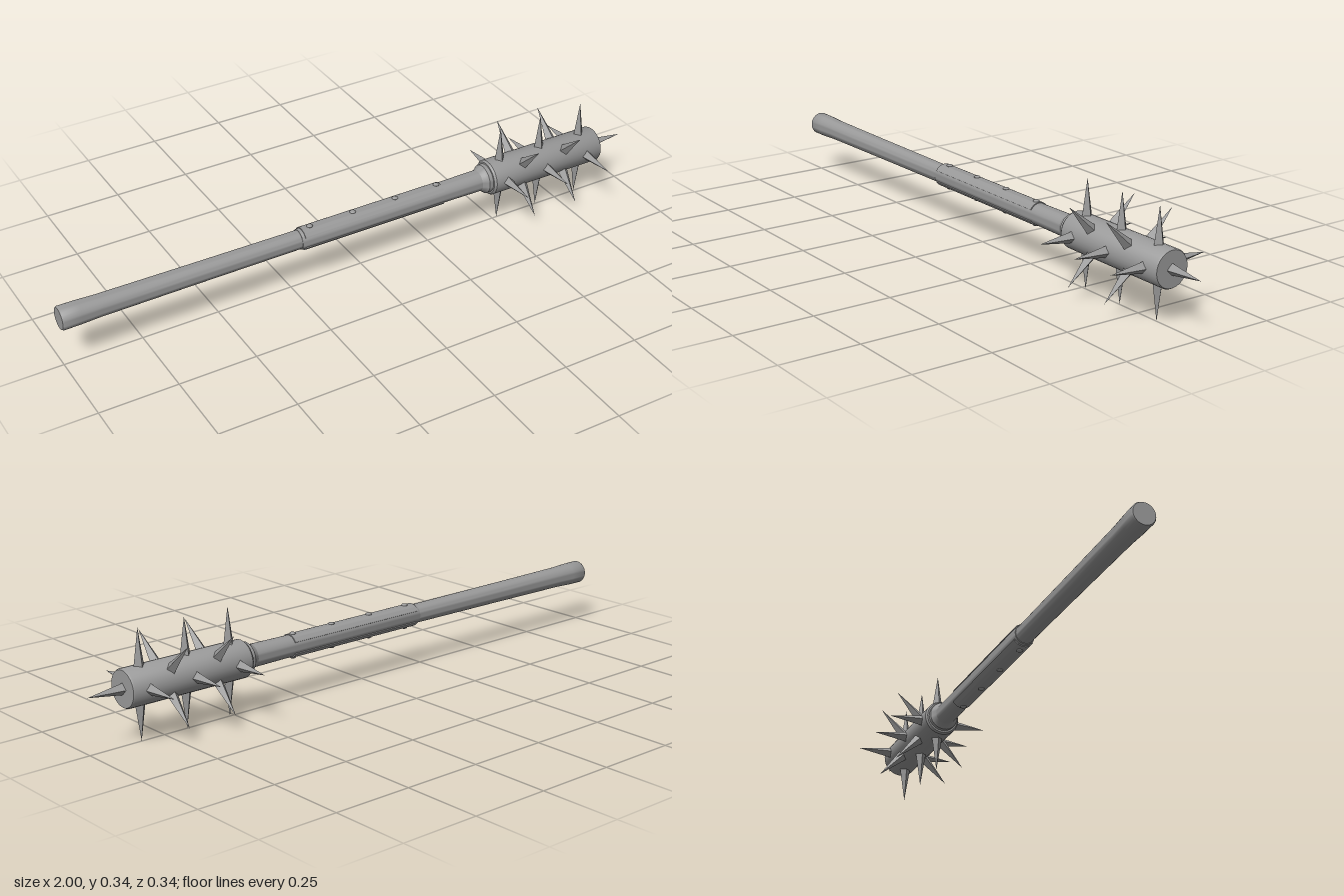
import * as THREE from 'three';
import { toCreasedNormals } from 'three/addons/utils/BufferGeometryUtils.js';

const AXIS_Y = 0.168;
const STEEL = 0x999999;
const material = new THREE.MeshStandardMaterial({ color: STEEL });
const flatMaterial = new THREE.MeshStandardMaterial({ color: STEEL, flatShading: true });

export function createModel() {
  const group = new THREE.Group();
  const weapon = new THREE.Group();
  weapon.name = 'spikedMace';
  weapon.position.y = AXIS_Y;
  group.add(weapon);

  const add = (name, geometry, parent = weapon, mat = material) => {
    const mesh = new THREE.Mesh(geometry, mat);
    mesh.name = name;
    parent.add(mesh);
    return mesh;
  };

  // Turned part along x, from [x, radius] pairs
  const turned = (name, profile) => {
    const points = profile.map(([x, r]) => new THREE.Vector2(r, x));
    const geometry = new THREE.LatheGeometry(points, 32).rotateZ(-Math.PI / 2);
    return add(name, toCreasedNormals(geometry, 0.6));
  };

  // Shaft with a slightly flared butt
  turned('shaft', [[-1, 0], [-1, 0.034], [-0.995, 0.037], [-0.94, 0.0365],
    [-0.88, 0.034], [-0.6, 0.032], [-0.2, 0.03], [-0.2, 0]]);

  // Sleeve on the upper half of the shaft
  turned('sleeve', [[-0.22, 0], [-0.22, 0.032], [-0.215, 0.0335], [0.3, 0.0335],
    [0.43, 0.035], [0.45, 0.035], [0.45, 0]]);

  // Collar under the head
  turned('collar', [[0.43, 0.034], [0.445, 0.04], [0.452, 0.047], [0.475, 0.048], [0.475, 0]]);

  // Cylindrical head
  turned('head', [[0.465, 0], [0.465, 0.053], [0.472, 0.058], [0.88, 0.058],
    [0.885, 0.055], [0.885, 0]]);

  // Curved plates hugging the sleeve above and below, each with a row of rivets
  const arc = new THREE.Shape();
  const spread = Math.PI / 3;
  arc.absarc(0, 0, 0.0365, Math.PI / 2 - spread, Math.PI / 2 + spread, false);
  arc.absarc(0, 0, 0.03, Math.PI / 2 + spread, Math.PI / 2 - spread, true);
  const plateGeometry = toCreasedNormals(
    new THREE.ExtrudeGeometry(arc, { depth: 0.5, bevelEnabled: false, curveSegments: 16 })
      .rotateY(Math.PI / 2), 0.6);
  for (const side of [0, 1]) {
    const plate = new THREE.Group();
    plate.name = 'rivetedPlate';
    plate.rotation.x = side * Math.PI;
    weapon.add(plate);
    add('plate', plateGeometry, plate).position.x = -0.21;
    for (let i = 0; i < 4; i++) {
      const rivet = add('rivet', new THREE.SphereGeometry(0.01, 12, 8), plate);
      rivet.scale.y = 0.5;
      rivet.position.set(-0.18 + i * 0.152, 0.0365, 0);
    }
  }

  // Four-sided spikes: alternating rows are turned by an eighth
  const spikeGeometry = (length) =>
    new THREE.ConeGeometry(0.0185, length, 4).translate(0, length / 2, 0);
  [0.516, 0.584, 0.67, 0.745, 0.828].forEach((x, row) => {
    const ring = new THREE.Group();
    ring.name = 'spikeRing';
    ring.position.x = x;
    weapon.add(ring);
    for (let i = 0; i < 4; i++) {
      const spike = add('spike', spikeGeometry(0.118).translate(0, 0.05, 0), ring, flatMaterial);
      spike.rotation.x = (i + (row % 2) / 2) * Math.PI / 2;
    }
  });

  // Spike on the end of the head
  const tip = add('tipSpike', spikeGeometry(0.12), weapon, flatMaterial);
  tip.rotation.z = -Math.PI / 2;
  tip.position.x = 0.88;

  return group;
}
